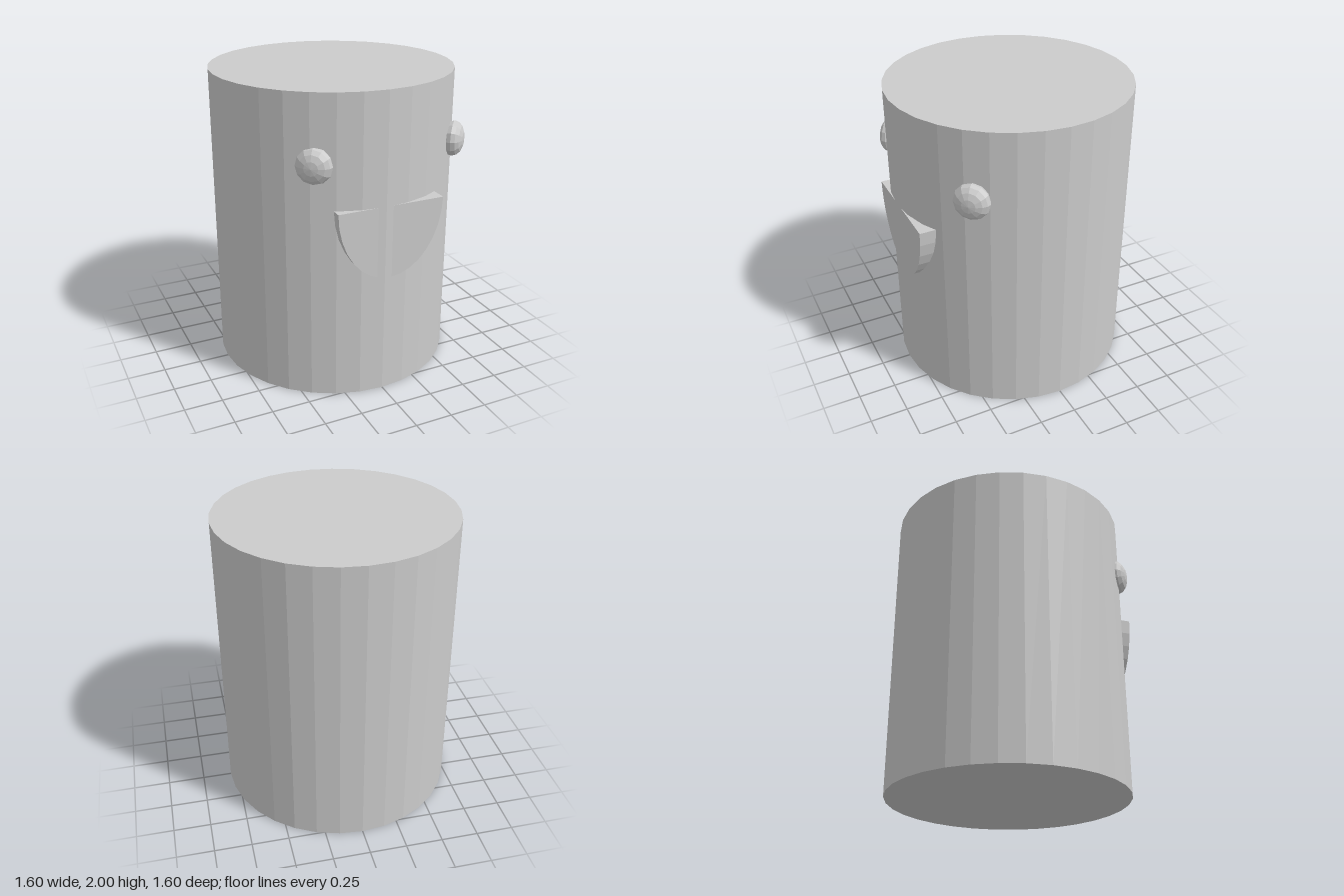
import * as THREE from 'three';

const grey = new THREE.MeshStandardMaterial({ color: 0xcccccc, flatShading: true });

function addPart(group, name, geometry) {
  const mesh = new THREE.Mesh(geometry, grey);
  mesh.name = name;
  group.add(mesh);
  return mesh;
}

// Flattened ball whose pole points outward, turned about the vertical axis
function makeEye(group, name, x, z, degrees) {
  const geometry = new THREE.SphereGeometry(1, 12, 8);
  geometry.rotateX(Math.PI / 2);
  geometry.scale(0.117, 0.117, 0.07);
  const eye = addPart(group, name, geometry);
  eye.position.set(x, 1.56, z);
  eye.rotation.y = THREE.MathUtils.degToRad(degrees);
}

export function createModel() {
  const group = new THREE.Group();
  group.name = 'smilingCylinder';

  // Body
  const body = addPart(group, 'body', new THREE.CylinderGeometry(0.8, 0.8, 2, 32));
  body.position.y = 1;

  // Eyes
  makeEye(group, 'leftEye', 0.62, 0.54, 47);
  makeEye(group, 'rightEye', -0.42, 0.668, -40);

  // Mouth: half ellipse with a flat top, set into the body
  const outline = [];
  for (let i = 0; i <= 16; i++) {
    const a = Math.PI + (i / 16) * Math.PI;
    outline.push(new THREE.Vector2(0.36 * Math.cos(a), 0.48 * Math.sin(a)));
  }
  const mouth = addPart(group, 'mouth', new THREE.ExtrudeGeometry(
    new THREE.Shape(outline), { depth: 0.195, bevelEnabled: false }));
  mouth.position.set(0.04, 1.28, 0.6);

  return group;
}
